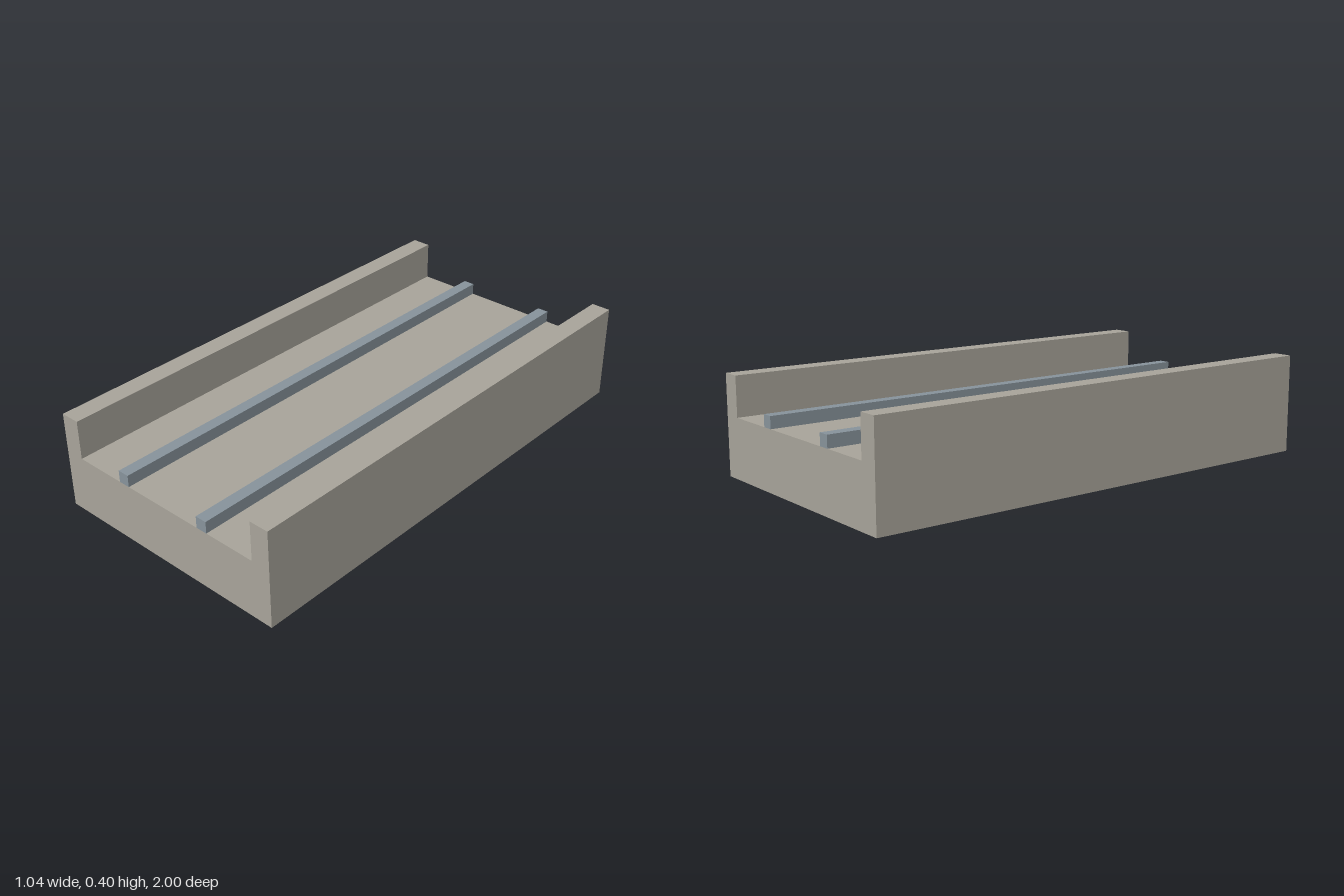
import * as THREE from 'three';

const LENGTH = 2;

export function createModel() {
  const concrete = new THREE.MeshStandardMaterial({ color: 0xa8a49a });
  concrete.name = 'concrete';
  const steel = new THREE.MeshStandardMaterial({ color: 0x87939b });
  steel.name = 'steel';

  const model = new THREE.Group();
  model.name = 'trackBed';

  // Channel-shaped bed: floor and both side walls in one extruded section
  const section = new THREE.Shape([
    [-0.52, 0], [0.52, 0], [0.52, 0.4], [0.44, 0.4],
    [0.44, 0.24], [-0.44, 0.24], [-0.44, 0.4], [-0.52, 0.4],
  ].map(([x, y]) => new THREE.Vector2(x, y)));
  const bedGeometry = new THREE.ExtrudeGeometry(section, { depth: LENGTH, bevelEnabled: false });
  bedGeometry.translate(0, 0, -LENGTH / 2);
  const bed = new THREE.Mesh(bedGeometry, concrete);
  bed.name = 'channelBed';
  model.add(bed);

  // Pair of rails resting on the floor
  const railGeometry = new THREE.BoxGeometry(0.048, 0.048, LENGTH);
  for (const side of [-1, 1]) {
    const rail = new THREE.Mesh(railGeometry, steel);
    rail.name = side > 0 ? 'leftRail' : 'rightRail';
    rail.position.set(side * 0.2, 0.264, 0);
    model.add(rail);
  }

  return model;
}
